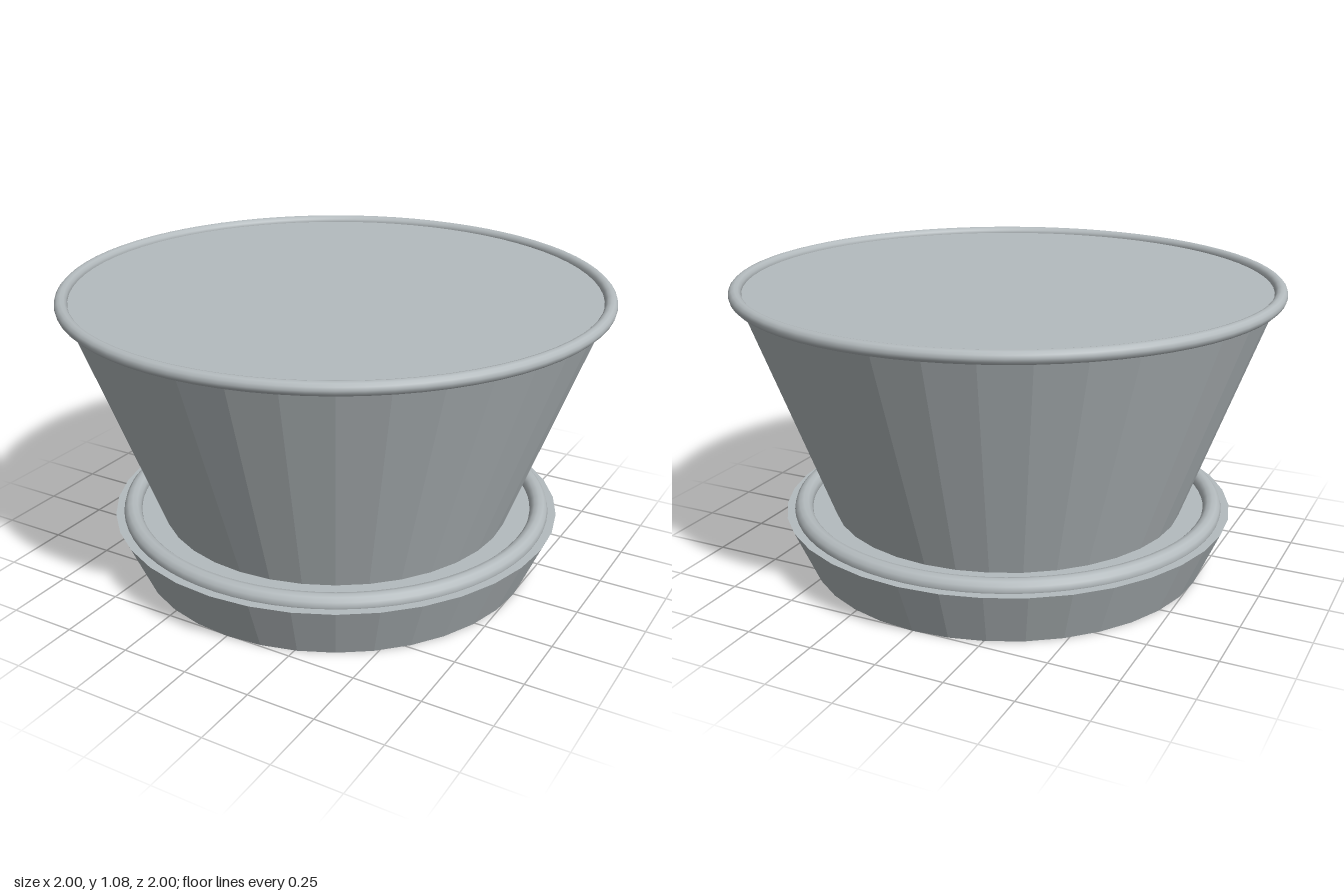
import * as THREE from 'three';

const SIDES = 36;

export function createModel() {
  const group = new THREE.Group();
  const stone = new THREE.MeshStandardMaterial({ color: 0xb4bbbe });
  stone.name = 'paleGrey';

  const add = (name, geometry, y) => {
    const mesh = new THREE.Mesh(geometry, stone);
    mesh.name = name;
    mesh.position.y = y;
    group.add(mesh);
    return mesh;
  };

  // Faceted tapered body standing on y = bottom
  const taper = (name, topRadius, bottomRadius, bottom, top) => {
    const geometry = new THREE.CylinderGeometry(topRadius, bottomRadius, top - bottom, SIDES).toNonIndexed();
    geometry.computeVertexNormals();
    add(name, geometry, (bottom + top) / 2);
  };

  // Smooth rounded ring lying flat
  const ring = (name, radius, tube, y) =>
    add(name, new THREE.TorusGeometry(radius, tube, 12, SIDES * 2).rotateX(-Math.PI / 2), y);

  // Saucer with its raised lip
  taper('saucer', 0.845, 0.755, 0, 0.208);
  ring('saucerLip', 0.78, 0.034, 0.214);

  // Pot with its rolled rim
  taper('pot', 0.972, 0.655, 0.19, 1.057);
  ring('potRim', 0.977, 0.023, 1.057);

  return group;
}
